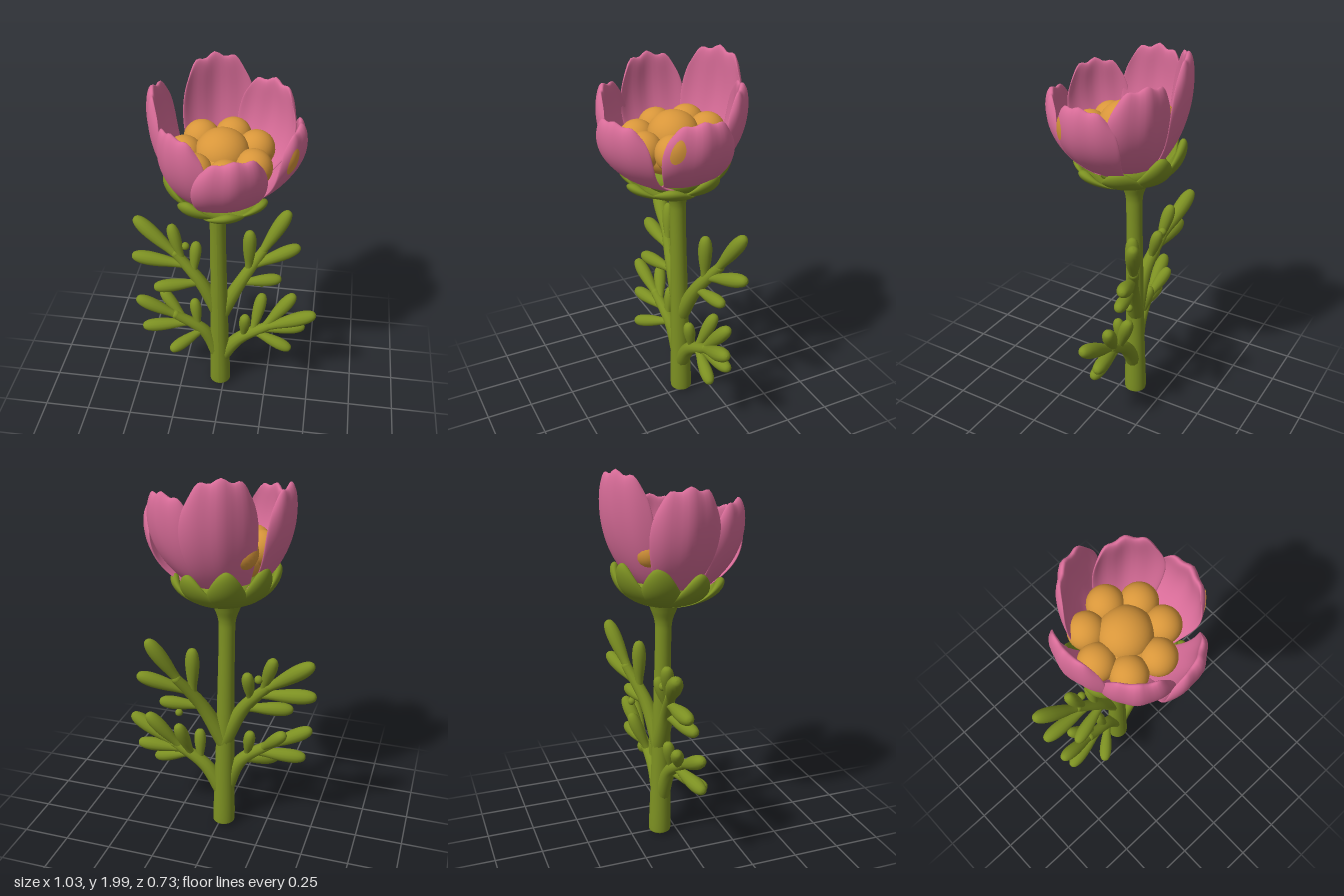
import * as THREE from 'three';
import { mergeVertices } from 'three/addons/utils/BufferGeometryUtils.js';

const V = (x, y, z) => new THREE.Vector3(x, y, z);
const mat = (name, color, side = THREE.FrontSide) => {
  const m = new THREE.MeshStandardMaterial({ color, side });
  m.name = name;
  return m;
};

// Smooth grid surface from a rule fn(u, v) -> Vector3
function surface(fn, nu, nv) {
  const pos = [], idx = [];
  for (let j = 0; j <= nv; j++)
    for (let i = 0; i <= nu; i++) pos.push(...fn(i / nu, j / nv).toArray());
  for (let j = 0; j < nv; j++)
    for (let i = 0; i < nu; i++) {
      const a = j * (nu + 1) + i, b = a + nu + 1;
      idx.push(a, b, a + 1, a + 1, b, b + 1);
    }
  let g = new THREE.BufferGeometry();
  g.setAttribute('position', new THREE.Float32BufferAttribute(pos, 3));
  g.setIndex(idx);
  g = mergeVertices(g, 1e-5);
  g.computeVertexNormals();
  return g;
}

// Point on a cupped, thick blade; t runs base to tip, phi runs round its section
function bladePoint(b, t, phi, lift = 0) {
  const s = Math.cos(phi), k = b.reach(t), w = b.width(t);
  const thick = (b.thick * Math.sin(phi) + lift) * Math.sqrt(Math.max(0, 1 - t ** 14));
  const out = thick - b.thick - b.cup * s * s * w * w + b.ridge * Math.cos(9 * s) * Math.sin(Math.PI * t * 0.8);
  const side = b.half * w * s;
  return V(
    b.base.x + (b.rim.x - b.base.x) * k + b.n.x * out + b.n.z * side,
    b.base.y + (b.rim.y - b.base.y) * t ** b.rise * b.edge(s),
    b.base.z + (b.rim.z - b.base.z) * k + b.n.z * out - b.n.x * side
  );
}
// Rows crowd towards the tip so that the rim rounds off
const bladeGeometry = (b) => surface((u, v) => bladePoint(b, 1 - (1 - v) ** 1.7, u * Math.PI * 2), 44, 28);

// Tube along a curve whose radius shrinks from r0 to r1
function taperTube(curve, r0, r1) {
  const n = 20, m = 12;
  const g = new THREE.TubeGeometry(curve, n, 1, m), p = g.attributes.position, v = V();
  for (let i = 0; i < p.count; i++) {
    const t = Math.floor(i / (m + 1)) / n, c = curve.getPointAt(t);
    v.fromBufferAttribute(p, i).sub(c).multiplyScalar(r0 + (r1 - r0) * t).add(c);
    p.setXYZ(i, v.x, v.y, v.z);
  }
  return g;
}

// Smooth lathe through a few profile points
const lathe = (profile, steps, sides) => new THREE.LatheGeometry(
  new THREE.SplineCurve(profile.map(([x, y]) => new THREE.Vector2(x, y))).getPoints(steps), sides);

export function createModel() {
  const green = mat('leafGreen', 0x7c9022);
  const pink = mat('petalPink', 0xd86c98);
  const orange = mat('heartOrange', 0xd8963a, THREE.DoubleSide);
  const model = new THREE.Group();
  model.name = 'flower';
  const add = (name, geometry, material, parent = model) => {
    const m = new THREE.Mesh(geometry, material);
    m.name = name;
    parent.add(m);
    return m;
  };
  const ball = (name, material, [x, y, z], rx, ry = rx, rz = rx, parent = model) => {
    const m = add(name, new THREE.SphereGeometry(1, 28, 20), material, parent);
    m.position.set(x, y, z);
    m.scale.set(rx, ry, rz);
  };

  // Stem: leaning lathe with a rounded foot and a flared top
  const stem = lathe([[0, 0.005], [0.035, 0.01], [0.054, 0.025], [0.06, 0.06], [0.053, 0.35], [0.044, 0.9],
    [0.042, 1.15], [0.046, 1.23], [0.066, 1.29], [0.085, 1.34]], 72, 24);
  const sp = stem.attributes.position;
  for (let i = 0; i < sp.count; i++) {
    const k = sp.getY(i) / 1.3;
    sp.setX(i, sp.getX(i) - 0.022 - 0.01 * k);
    sp.setZ(i, sp.getZ(i) - 0.095 + 0.027 * k);
  }
  stem.computeVertexNormals();
  add('stem', stem, green);

  // Frond: curved stalk with club-shaped leaflets, each [place along stalk, tip x, y, z]
  const leafletGeometry = lathe([[0.55, 0], [0.62, 0.2], [0.88, 0.45], [1, 0.68], [0.88, 0.86], [0.52, 0.97], [0, 1]], 20, 14);
  const frond = (name, rootY, bend, end, leaflets) => {
    const group = new THREE.Group();
    group.name = name;
    model.add(group);
    const curve = new THREE.CatmullRomCurve3([V(-0.02, rootY, -0.09), V(...bend), V(...end)]);
    add('stalk', taperTube(curve, 0.046, 0.026), green, group);
    ball('stalkEnd', green, end, 0.026, 0.026, 0.026, group);
    for (const [t, x, y, z] of leaflets) {
      const start = curve.getPoint(t), d = V(x, y, z).sub(start);
      const r = 0.021 + 0.06 * d.length();
      const m = add('leaflet', leafletGeometry, green, group);
      m.position.copy(start);
      m.scale.set(r, d.length(), r);
      m.quaternion.setFromUnitVectors(V(0, 1, 0), d.normalize());
    }
  };
  frond('upperLeftFrond', 0.53, [0.09, 0.75, -0.13], [0.2, 0.92, -0.2],
    [[0.92, 0.33, 1.15, -0.265], [0.75, 0.4, 0.935, -0.245], [0.68, 0.13, 1.08, -0.15], [0.48, 0.31, 0.76, -0.17]]);
  frond('upperRightFrond', 0.53, [-0.13, 0.75, -0.09], [-0.27, 0.91, -0.12],
    [[0.93, -0.505, 1.09, -0.175], [0.8, -0.515, 0.88, -0.11], [0.88, -0.3, 1.08, -0.15],
      [0.65, -0.16, 0.98, -0.15], [0.5, -0.38, 0.74, -0.02]]);
  frond('lowerLeftFrond', 0.2, [0.09, 0.36, -0.09], [0.26, 0.47, -0.1],
    [[0.93, 0.515, 0.6, -0.08], [0.85, 0.46, 0.46, -0.13], [0.75, 0.39, 0.34, -0.06],
      [0.58, 0.125, 0.56, -0.06], [0.73, 0.21, 0.635, -0.18], [0.9, 0.39, 0.665, -0.16]]);
  frond('lowerRightFrond', 0.2, [-0.11, 0.41, -0.07], [-0.27, 0.53, -0.05],
    [[0.93, -0.485, 0.645, -0.03], [0.75, -0.455, 0.455, -0.01], [0.53, -0.28, 0.37, 0.08],
      [0.62, -0.17, 0.615, -0.1], [0.85, -0.36, 0.645, -0.12]]);
  ball('leftBud', green, [0.2, 0.71, -0.175], 0.02);
  ball('rightBud', green, [-0.22, 0.95, -0.14], 0.022);

  // Calyx: rounded cup with broad sepals, higher at the back
  ball('calyxCup', green, [-0.025, 1.4, -0.055], 0.18, 0.095, 0.18);
  for (let i = 0; i < 8; i++) {
    const a = (i + 0.4) * Math.PI / 4, n = V(Math.sin(a), 0, Math.cos(a));
    add('sepal', bladeGeometry({
      base: V(-0.025 + n.x * 0.04, 1.318, -0.055 + n.z * 0.04),
      rim: V(-0.02 + n.x * 0.28, 1.49 - 0.06 * n.z - 0.045 * n.x, -0.045 + n.z * 0.295),
      n, half: 0.108, cup: 0.03, thick: 0.026, ridge: 0, rise: 1.6,
      edge: () => 1,
      reach: (t) => Math.sin(Math.PI / 2 * t ** 0.8),
      width: (t) => Math.max(0, Math.sin(Math.PI * (0.2 + 0.8 * t))) ** 0.55,
    }), green);
  }

  // Petals: rim x, rim z, outward x, outward z, half width, top height
  const petals = [
    ['backPetal', -0.09, -0.345, -0.43, -0.9, 0.188, 2.0],
    ['backLeftPetal', 0.24, -0.295, 0.5, -0.86, 0.175, 1.91],
    ['leftPetal', 0.4, 0, 0.99, 0.1, 0.18, 1.815],
    ['frontLeftPetal', 0.11, 0.352, 0.36, 0.93, 0.182, 1.78],
    ['frontRightPetal', -0.21, 0.28, -0.65, 0.76, 0.17, 1.86],
    ['rightPetal', -0.36, -0.04, -1, 0, 0.18, 1.94],
  ].map(([name, x, z, nx, nz, half, top]) => {
    const n = V(nx, 0, nz).normalize();
    return {
      name, n, half, cup: 0.07, thick: 0.024, ridge: 0.004, rise: 1,
      base: V(-0.01 + n.x * 0.13, 1.39 - 0.02 * n.z, -0.04 + n.z * 0.13),
      rim: V(x, top - 0.012, z),
      edge: (s) => 1 - 0.05 * s * s - 0.1 * s ** 4 + 0.02 * Math.cos(3 * Math.PI * s),
      reach: (t) => Math.sin(1.85 * t ** 0.72),
      width: (t) => (0.58 + 0.42 * Math.sin(Math.PI * 0.7 * t)) * Math.sqrt(1 - 0.25 * t ** 6),
    };
  });
  for (const p of petals) add(p.name, bladeGeometry(p), pink);

  // Orange fleck on the outside of the left petal
  add('petalFleck', surface((u, v) => {
    const a = u * Math.PI * 2;
    return bladePoint(petals[2], 0.73 + 0.15 * v * Math.sin(a), 2.37 + 0.25 * v * Math.cos(a), 0.004);
  }, 20, 4), orange);

  // Heart: central dome ringed by seven balls
  ball('heartCore', orange, [-0.01, 1.54, -0.03], 0.2, 0.12, 0.2);
  ball('heartDome', orange, [0, 1.61, -0.03], 0.135, 0.125, 0.13);
  for (let i = 0; i < 7; i++) {
    const a = 0.25 + i * Math.PI * 2 / 7, z = -0.025 + 0.175 * Math.cos(a);
    ball('heartBall', orange, [-0.005 + 0.18 * Math.sin(a), 1.595 - 0.12 * z, z], 0.092);
  }

  return model;
}
